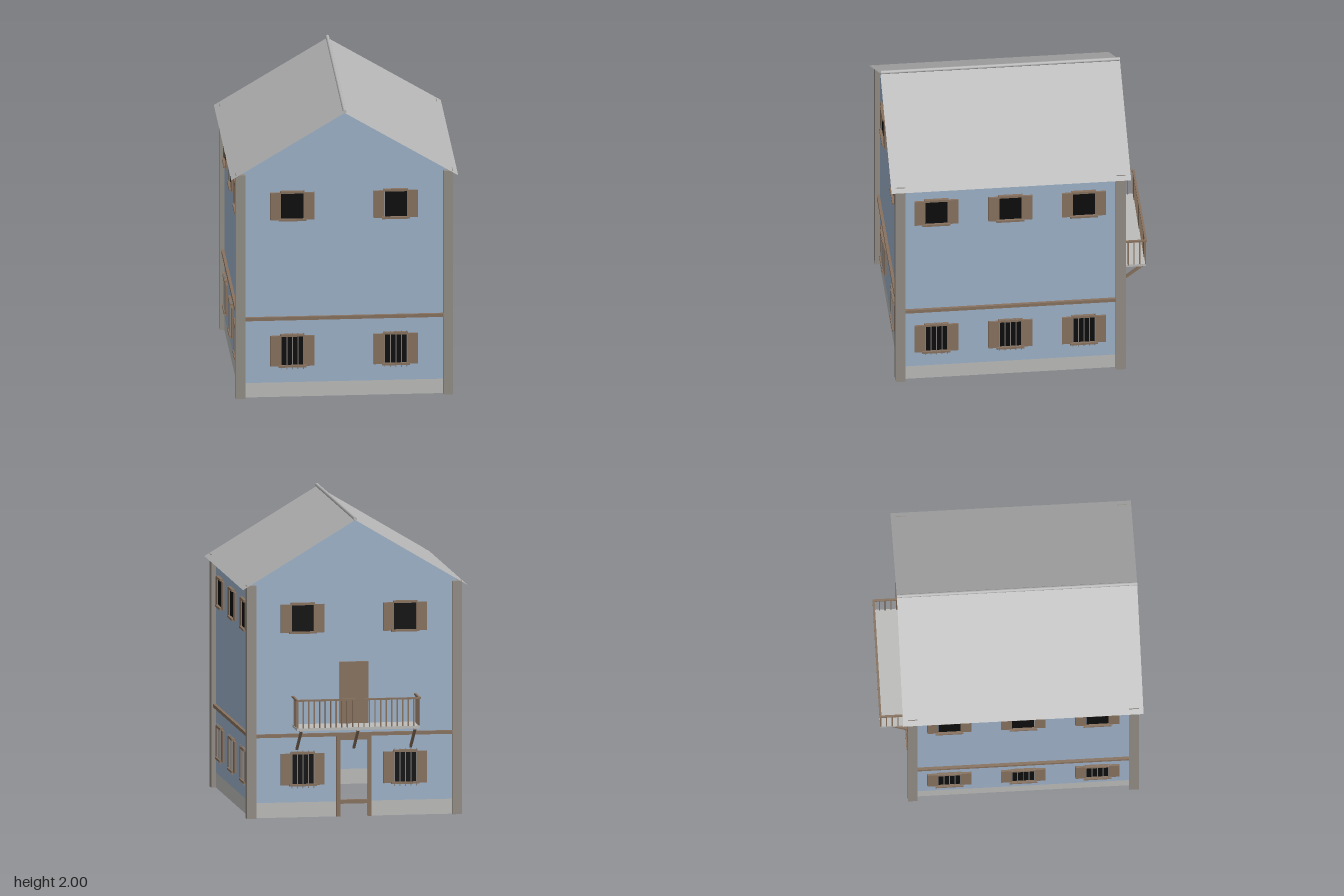
import * as THREE from 'three';

const mat = (name, color, double) => {
  const m = new THREE.MeshStandardMaterial({ color });
  m.name = name;
  if (double) m.side = THREE.DoubleSide;
  return m;
};

export function createModel() {
  const M = {
    wall: mat('blue plaster', 0x9fb3ca, true),
    base: mat('light stone', 0xbcbcba, true),
    roof: mat('grey roofing', 0xb7b7b7, true),
    pillar: mat('pillar stone', 0x938e86),
    wood: mat('brown wood', 0x88725f),
    floor: mat('dark floor wood', 0x6b584d, true),
    dark: mat('dark opening', 0x0d0d0d),
    iron: mat('iron bars', 0x8f8a86),
  };
  const house = new THREE.Group();
  house.name = 'house';

  const add = (parent, name, geo, material, x = 0, y = 0, z = 0) => {
    const m = new THREE.Mesh(geo, material);
    m.name = name;
    m.position.set(x, y, z);
    parent.add(m);
    return m;
  };
  // Box given by its extents
  const box = (parent, name, material, x0, x1, y0, y1, z0, z1) =>
    add(parent, name, new THREE.BoxGeometry(x1 - x0, y1 - y0, z1 - z0), material,
      (x0 + x1) / 2, (y0 + y1) / 2, (z0 + z1) / 2);
  const flat = (pts) =>
    new THREE.ShapeGeometry(new THREE.Shape(pts.map(([x, y]) => new THREE.Vector2(x, y))));

  const HX = 0.687, ZF = 0.80, ZB = -0.66, ZC = 0.07, HZ = 0.73;
  const RIDGE = 1.98, EAVE = 1.53, RX = 0.75, SLOPE = (RIDGE - EAVE) / RX;
  const wallTop = RIDGE - SLOPE * HX - 0.002;
  const BASE = 0.1, DOOR = 0.105, DOORTOP = 0.535;

  // Shuttered window; local +z points out of the wall
  function makeWindow(x, y0, y1, barred) {
    const g = new THREE.Group();
    g.name = barred ? 'barredWindow' : 'upperWindow';
    g.position.x = x;
    box(g, 'opening', M.dark, -0.073, 0.073, y0 + 0.008, y1, 0.001, 0.008);
    for (const s of [-1, 1]) {
      const a = s * 0.074, b = s * 0.146;
      box(g, 'shutter', M.wood, Math.min(a, b), Math.max(a, b), y0, y1, 0.001, 0.014);
    }
    box(g, 'lintel', M.wood, -0.08, 0.08, y1 - 0.004, y1 + 0.012, 0.001, 0.022);
    box(g, 'sill', M.wood, -0.092, 0.092, y0 - 0.006, y0 + 0.008, 0.001, 0.026);
    if (barred) {
      for (let i = -2; i <= 2; i++) {
        add(g, 'bar', new THREE.CylinderGeometry(0.0035, 0.0035, y1 - y0 + 0.04, 6), M.iron,
          i * 0.037, (y0 + y1) / 2, 0.016);
      }
    }
    return g;
  }

  // One facade: wall, base strip, timber band and windows
  function makeSide(name, half, pos, angle, offsets, gable, door) {
    const g = new THREE.Group();
    g.name = name;
    g.position.set(...pos);
    g.rotation.y = angle;
    const notch = door ? [[-DOOR, BASE], [-DOOR, DOORTOP], [DOOR, DOORTOP], [DOOR, BASE]] : [];
    const peak = gable ? [[0, RIDGE - 0.002]] : [];
    add(g, 'wall', flat([[-half, BASE], ...notch, [half, BASE], [half, wallTop], ...peak, [-half, wallTop]]), M.wall);
    const strips = door ? [[-half, -DOOR], [DOOR, half]] : [[-half, half]];
    for (const [a, b] of strips) {
      add(g, 'baseStrip', flat([[a, 0], [b, 0], [b, BASE], [a, BASE]]), M.base);
    }
    box(g, 'timberBand', M.wood, -half + 0.03, half - 0.03, 0.535, 0.558, 0.001, 0.02);
    for (const x of offsets) {
      g.add(makeWindow(x, 0.215, 0.425, true));
      g.add(makeWindow(x, 1.23, 1.418, false));
    }
    house.add(g);
    return g;
  }

  makeSide('frontSide', HX, [0, 0, ZF], 0, [-0.342, 0.342], true, false);
  const back = makeSide('backSide', HX, [0, 0, ZB], Math.PI, [-0.342, 0.342], true, true);
  makeSide('leftSide', HZ, [HX, 0, ZC], Math.PI / 2, [-0.49, 0, 0.487], false, false);
  makeSide('rightSide', HZ, [-HX, 0, ZC], -Math.PI / 2, [-0.487, 0, 0.49], false, false);

  // Corner pillars
  for (const sx of [-1, 1]) for (const z of [ZF, ZB]) {
    box(house, 'cornerPillar', M.pillar, sx * HX - 0.032, sx * HX + 0.032, 0, 1.552, z - 0.032, z + 0.032);
  }

  // Upper storey floor
  add(house, 'upperFloor', new THREE.PlaneGeometry(HX * 2, HZ * 2).rotateX(-Math.PI / 2), M.floor, 0, 0.54, ZC);

  // Roof slopes and ridge
  const RZ0 = -0.725, RZ1 = 0.862, RZ = (RZ0 + RZ1) / 2, RL = RZ1 - RZ0;
  for (const s of [-1, 1]) {
    const geo = new THREE.PlaneGeometry(Math.hypot(RX, RIDGE - EAVE), RL).rotateX(-Math.PI / 2);
    geo.rotateZ(-s * Math.atan(SLOPE));
    add(house, 'roofSlope', geo, M.roof, s * RX / 2, (RIDGE + EAVE) / 2, RZ);
  }
  add(house, 'ridgeCap', new THREE.CylinderGeometry(0.012, 0.012, RL, 12).rotateX(Math.PI / 2), M.roof, 0, 1.988, RZ);

  // Ground floor doorway frame
  for (const s of [-1, 1]) {
    box(back, 'doorJamb', M.wood, s * DOOR - 0.012, s * DOOR + 0.012, 0, DOORTOP, -0.015, 0.018);
  }
  box(back, 'doorThreshold', M.wood, -DOOR, DOOR, 0.085, 0.11, -0.015, 0.015);
  box(back, 'doorLintel', M.wood, -DOOR, DOOR, DOORTOP - 0.025, DOORTOP, -0.015, 0.018);
  // Balcony door
  box(back, 'balconyDoor', M.wood, -0.095, 0.095, 0.615, 1.03, 0.001, 0.015);

  // Balcony, with local +z pointing away from the wall
  const balcony = new THREE.Group();
  balcony.name = 'balcony';
  back.add(balcony);
  const BX = 0.41, BZ = 0.198, Y0 = 0.615, Y1 = 0.808;
  box(balcony, 'slab', M.base, -BX, BX, 0.602, 0.62, 0.001, BZ);
  box(balcony, 'frontRail', M.wood, -BX - 0.005, BX + 0.005, Y1 - 0.01, Y1 + 0.002, BZ - 0.009, BZ + 0.005);
  const baluster = (x, z) =>
    box(balcony, 'baluster', M.wood, x - 0.004, x + 0.004, Y0, Y1 - 0.008, z - 0.004, z + 0.004);
  const N = 22;
  for (let i = 0; i <= N; i++) baluster(-BX + 0.004 + i * (2 * BX - 0.008) / N, BZ - 0.004);
  for (const s of [-1, 1]) {
    const x = s * (BX - 0.002);
    box(balcony, 'sideRail', M.wood, x - 0.007, x + 0.007, Y1 - 0.01, Y1 + 0.002, 0.001, BZ);
    for (let i = 1; i <= 4; i++) baluster(s * (BX - 0.004), BZ - 0.004 - i * 0.038);
  }
  // Diagonal braces
  for (const x of [-0.38, 0, 0.38]) {
    const dy = 0.145, dz = 0.185;
    const brace = add(balcony, 'brace', new THREE.BoxGeometry(0.016, 0.016, Math.hypot(dy, dz)), M.wood,
      x, 0.455 + dy / 2, dz / 2);
    brace.rotation.x = -Math.atan2(dy, dz);
  }
  return house;
}
